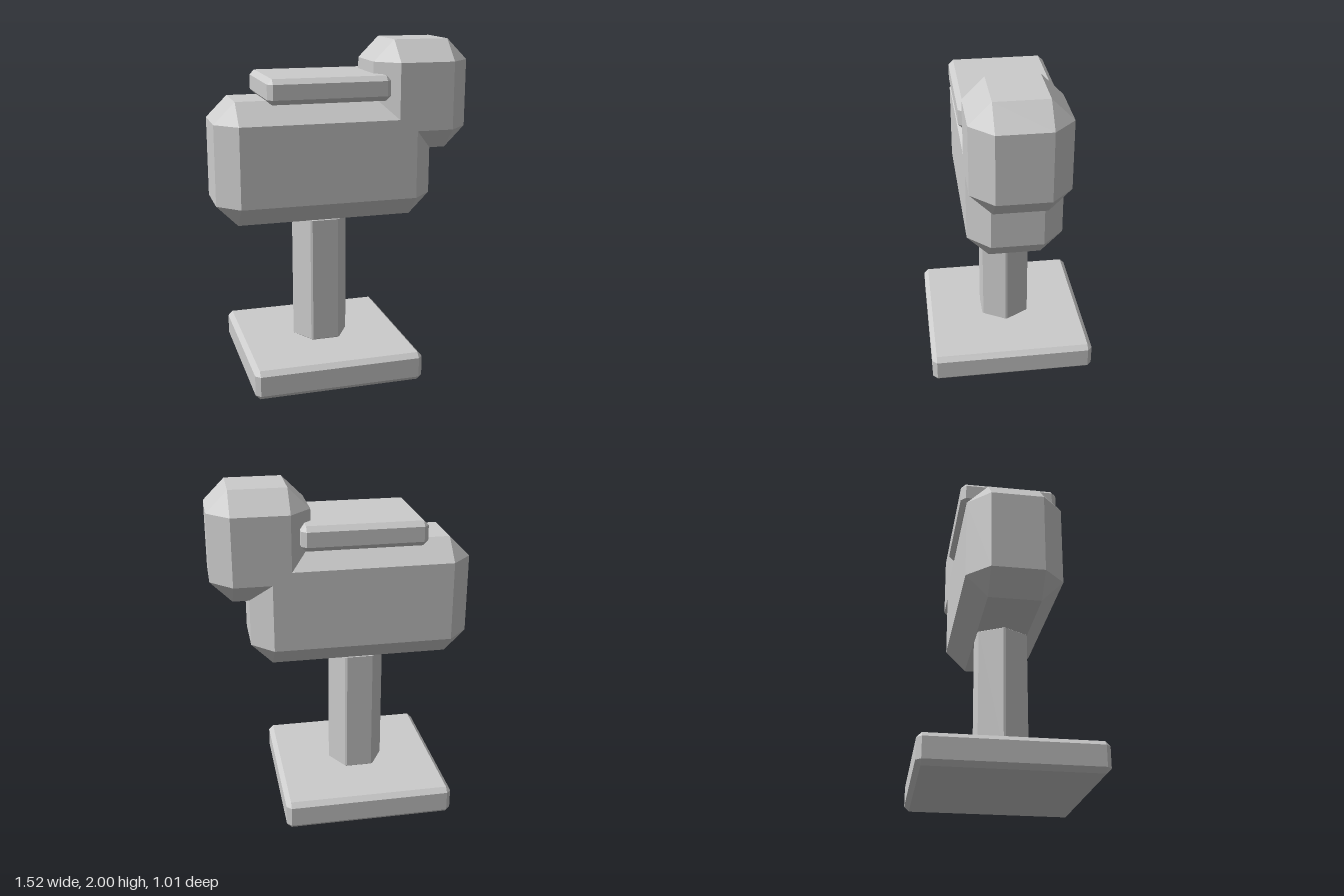
import * as THREE from 'three';
import { ConvexGeometry } from 'three/addons/geometries/ConvexGeometry.js';

const grey = new THREE.MeshStandardMaterial({ color: 0xcccccc });
grey.name = 'lightGrey';

// Box between x0..x1, y0..y1, +-z with every edge and corner cut by c
function chamferBox(x0, x1, y0, y1, z, c) {
  const hx = (x1 - x0) / 2, hy = (y1 - y0) / 2;
  const points = [];
  for (const sx of [-1, 1]) for (const sy of [-1, 1]) for (const sz of [-1, 1]) {
    points.push(
      new THREE.Vector3(sx * hx, sy * (hy - c), sz * (z - c)),
      new THREE.Vector3(sx * (hx - c), sy * hy, sz * (z - c)),
      new THREE.Vector3(sx * (hx - c), sy * (hy - c), sz * z));
  }
  return new ConvexGeometry(points).translate((x0 + x1) / 2, (y0 + y1) / 2, 0);
}

// Six-sided column with small cuts along its edges
function chamferColumn(x, y0, y1, radius, c) {
  const corner = (i, r) => {
    const a = i * Math.PI / 3;
    return new THREE.Vector3(Math.cos(a) * r, 0, Math.sin(a) * r);
  };
  const points = [];
  for (let i = 0; i < 6; i++) {
    const p = corner(i, radius), inner = corner(i, radius - c * 1.6);
    for (const [y, inset] of [[y0, c], [y1, -c]]) {
      points.push(inner.clone().setY(y));
      for (const n of [i - 1, i + 1]) {
        points.push(p.clone().lerp(corner(n, radius), c / radius).setY(y + inset));
      }
    }
  }
  return new ConvexGeometry(points).translate(x, 0, 0);
}

export function createModel() {
  const model = new THREE.Group();
  model.name = 'springRider';
  const add = (name, geometry) => {
    const mesh = new THREE.Mesh(geometry, grey);
    mesh.name = name;
    model.add(mesh);
  };

  add('base', chamferBox(-0.62, 0.395, 0, 0.175, 0.506, 0.028));
  add('post', chamferColumn(-0.113, 0.178, 0.952, 0.172, 0.008));
  add('body', chamferBox(-0.762, 0.54, 0.95, 1.673, 0.275, 0.125));
  add('head', chamferBox(0.18, 0.76, 1.352, 2, 0.275, 0.125));
  add('saddle', chamferBox(-0.475, 0.25, 1.662, 1.807, 0.29, 0.029));

  return model;
}
